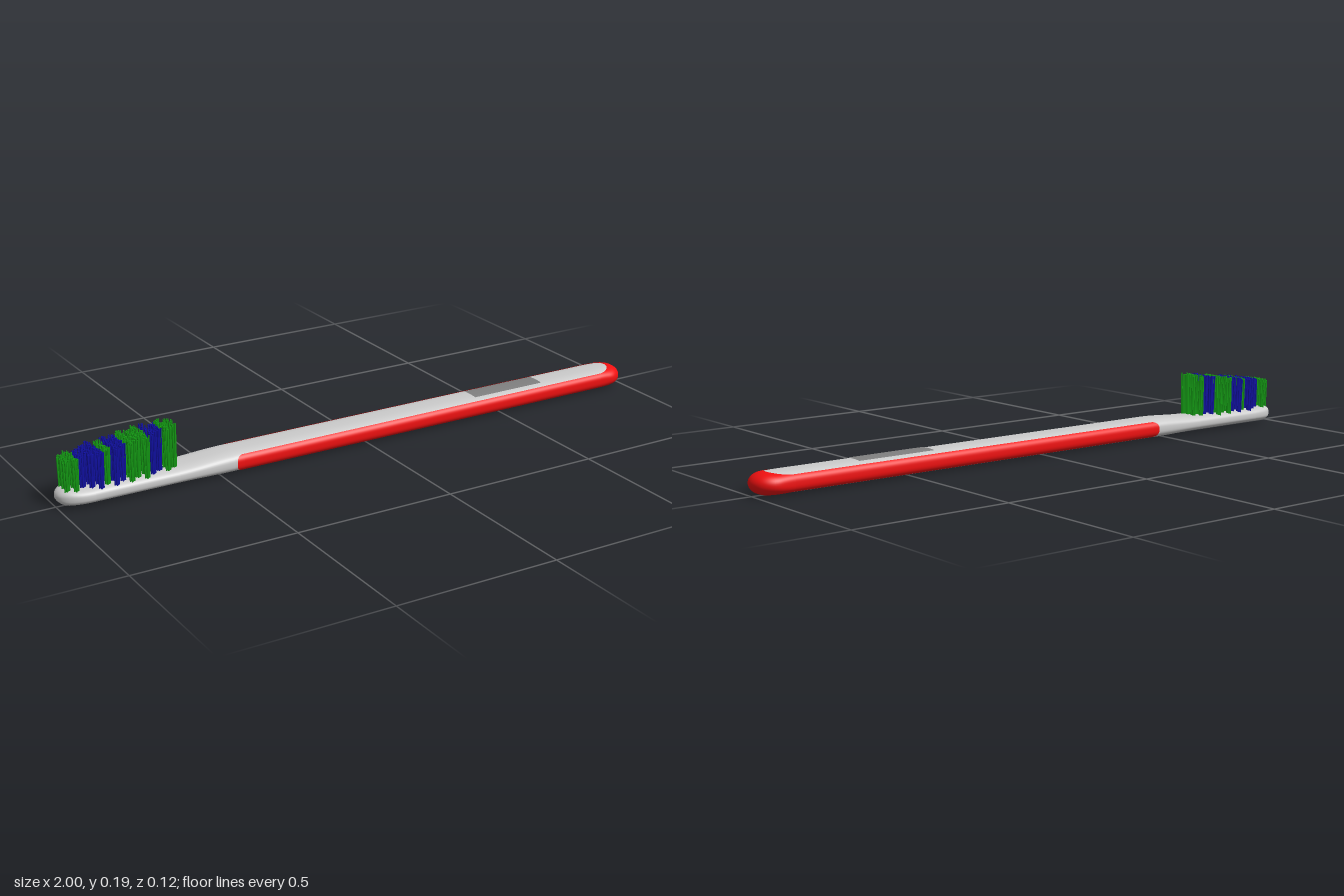
import * as THREE from 'three';
import { mergeVertices, mergeGeometries } from 'three/addons/utils/BufferGeometryUtils.js';

const smooth = THREE.MathUtils.smoothstep;
const dome = (u, p) => Math.pow(Math.max(0, 1 - Math.pow(THREE.MathUtils.clamp(u, 0, 1), p)), 1 / p);

// Cross-section of the brush at x: half width, top, bottom and squareness
function section(x, grow = 0) {
  const e = 1 + grow;
  const tip = -1 - x + 0.1, end = x - (e - 0.065);
  const w = (0.0605 + grow) * dome(tip / 0.1, 2.2) * dome(end / 0.065, 2);
  const k = smooth(x, -0.64, -0.46);
  const tall = dome((-0.965 - x) / 0.035, 2) * dome((x - (e - 0.045)) / 0.045, 2);
  const top = THREE.MathUtils.lerp(0.055, 0.0635, k) + grow;
  const bottom = THREE.MathUtils.lerp(0.006, 0.0015, k) - grow;
  const n = THREE.MathUtils.lerp(2.8, 2.1, smooth(x, 0.9, 0.98));
  return { w, h: (top - bottom) / 2 * tall, cy: (top + bottom) / 2, n };
}

// Skin over the sections, between the angles range(x) gives
function skin(xs, steps, range, grow) {
  const pos = [], idx = [];
  for (const x of xs) {
    const s = section(x, grow), [t0, t1] = range(x, s);
    for (let j = 0; j <= steps; j++) {
      const t = t0 + (t1 - t0) * j / steps, c = Math.cos(t), q = Math.sin(t);
      pos.push(x, s.cy + s.h * Math.sign(q) * Math.abs(q) ** (2 / s.n),
        s.w * Math.sign(c) * Math.abs(c) ** (2 / s.n));
    }
  }
  for (let i = 0; i < xs.length - 1; i++) for (let j = 0; j < steps; j++) {
    const a = i * (steps + 1) + j, b = a + steps + 1;
    idx.push(a, b, a + 1, b, b + 1, a + 1);
  }
  let g = new THREE.BufferGeometry();
  g.setAttribute('position', new THREE.Float32BufferAttribute(pos, 3));
  g.setIndex(idx);
  g = mergeVertices(g, 1e-5);
  g.computeVertexNormals();
  return g;
}

// Stations along x, packed closer towards both ends of each stretch
function stations(...stops) {
  const xs = [stops[0]];
  for (let i = 1; i < stops.length; i++) for (let k = 1; k <= 14; k++)
    xs.push(THREE.MathUtils.lerp(stops[i - 1], stops[i], (1 - Math.cos(Math.PI * k / 14)) / 2));
  return xs;
}

function seeded(seed) {
  return () => (seed = (seed * 16807) % 2147483647) / 2147483647;
}

export function createModel() {
  const root = new THREE.Group();
  const add = (name, geo, color, side = THREE.FrontSide) => {
    const m = new THREE.Mesh(geo, new THREE.MeshStandardMaterial({ color, side }));
    m.name = name;
    root.add(m);
  };

  // Handle, neck and head in one piece
  add('body', skin(stations(-1, -0.9, -0.64, -0.46, 0.9, 1), 48, () => [0, Math.PI * 2], 0), 0xcccccc);

  // Rubber grip: a strip on each side that closes over the butt end
  const GROW = 0.0015, START = -0.455;
  const gripAngle = (x, s) => {
    const edge = 0.05 * Math.sqrt(Math.max(0, 1 - (Math.max(0, x - 0.895) / 0.06) ** 2));
    const a = s.w > edge ? Math.acos((edge / s.w) ** (s.n / 2)) : Math.PI / 2;
    return a * dome((START + 0.024 - x) / 0.024, 2);
  };
  const gripXs = stations(START, START + 0.024, 0.895, 0.955, 1 + GROW);
  const strips = [0, Math.PI].map(mid => skin(gripXs, 24, (x, s) => {
    const a = gripAngle(x, s);
    return [mid - a, mid + a];
  }, GROW));
  add('grip', mergeGeometries(strips), 0xf01010, THREE.DoubleSide);

  // Dark inlay on top of the handle
  const inlay = skin([0.41, 0.54, 0.67], 12, (x, s) => {
    const a = Math.acos((0.032 / s.w) ** (s.n / 2));
    return [a, Math.PI - a];
  }, 0.002);
  add('inlay', inlay, 0x808080, THREE.DoubleSide);

  // Bristle tufts: staggered columns in colour bands, taller towards the neck
  const rnd = seeded(71);
  const bristles = { green: [], blue: [] };
  const up = new THREE.Vector3(0, 1, 0);
  const bristle = (foot, tip) => {
    const d = tip.clone().sub(foot), len = d.length();
    const g = new THREE.CylinderGeometry(0.0022, 0.0026, len, 5);
    g.translate(0, len / 2, 0);
    g.applyQuaternion(new THREE.Quaternion().setFromUnitVectors(up, d.normalize()));
    return g.translate(foot.x, foot.y, foot.z);
  };
  const bands = 'ggbbbgbbbgggbgg'.replace('bbbgggbgg', 'bbgggbbgg');
  for (let i = 0; i < 15; i++) {
    const x = -0.972 + i * 0.0236;
    const limit = 0.05 * dome(Math.abs(i - 7) / 7.6, 3.5);
    const list = bands[i] === 'g' ? bristles.green : bristles.blue;
    const rows = i % 2 ? [-1.5, -0.5, 0.5, 1.5] : [-2, -1, 0, 1, 2];
    for (const r of rows) {
      const z = r * 0.0235;
      if (Math.abs(z) > limit) continue;
      for (let k = 0; k < 10; k++) {
        const ang = k * 2.4, rad = 0.0085 * Math.sqrt((k + 0.3) / 10);
        const ox = Math.cos(ang) * rad, oz = Math.sin(ang) * rad;
        const px = x + ox * 1.1 + (rnd() - 0.5) * 0.004;
        const height = 0.146 + (px + 0.98) * 0.129 - rnd() * 0.008;
        list.push(bristle(new THREE.Vector3(x + ox * 0.8, 0.035, z * 0.95 + oz * 0.8),
          new THREE.Vector3(px, height, z + oz * 1.1 + (rnd() - 0.5) * 0.004)));
      }
    }
  }
  add('greenBristles', mergeGeometries(bristles.green), 0x14a014);
  add('blueBristles', mergeGeometries(bristles.blue), 0x1010a8);

  return root;
}
